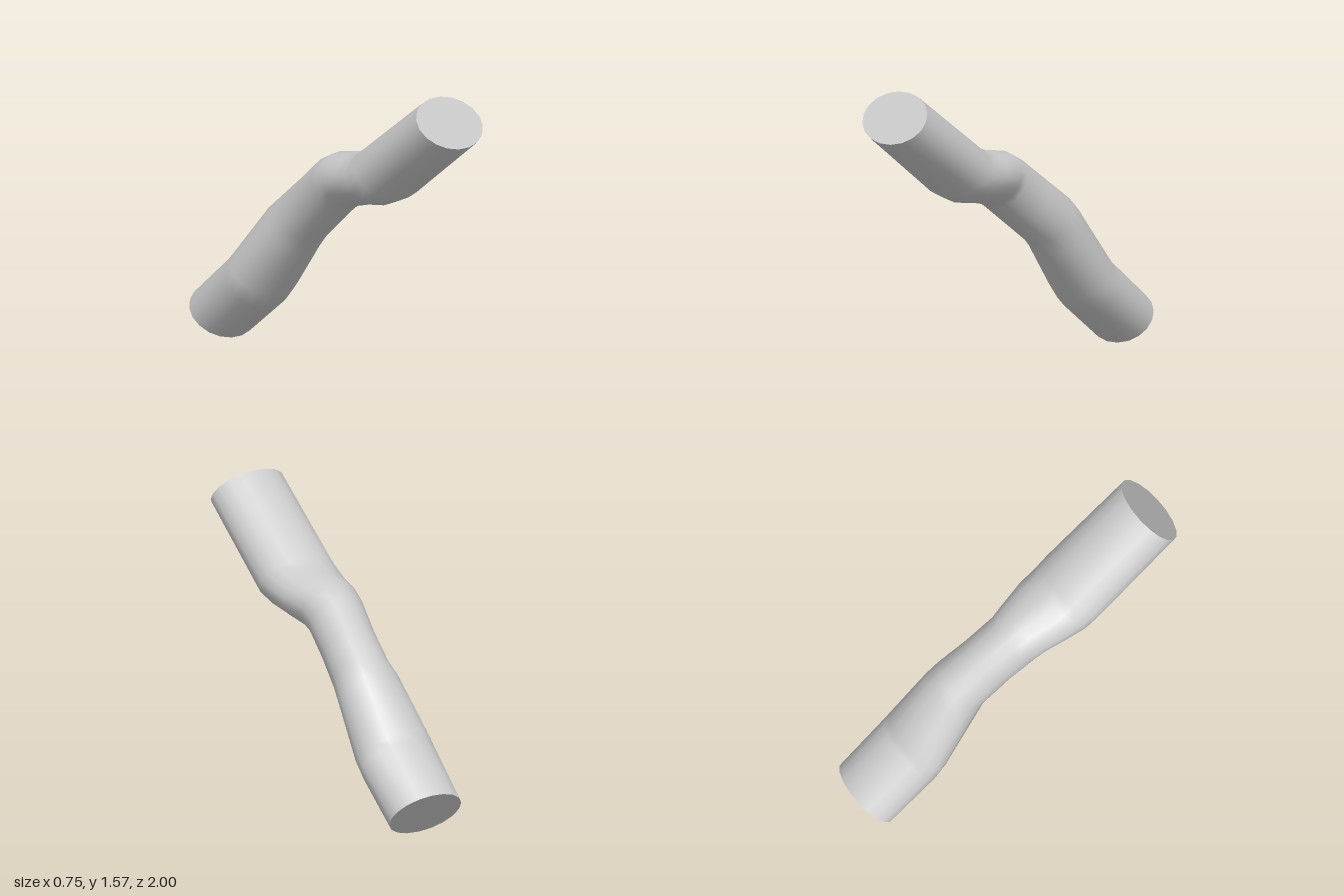
import * as THREE from 'three';

const SIDES = 18;

// Sections from the upper front end to the lower back end:
// centre x, half width, then the [z, y] of the upper and lower edge
const SECTIONS = [
  [0.17, 0.208, [0.80, 1.572], [1.00, 1.328]],
  [0.076, 0.214, [0.30, 1.22], [0.52, 0.975]],
  [0.055, 0.205, [0.25, 1.195], [0.41, 0.925]],
  [0.038, 0.193, [0.18, 1.172], [0.28, 0.905]],
  [0.005, 0.165, [0.03, 1.145], [0.16, 0.875]],
  [-0.01, 0.155, [-0.06, 1.10], [0.11, 0.838]],
  [-0.022, 0.15, [-0.23, 0.975], [-0.03, 0.732]],
  [-0.036, 0.158, [-0.40, 0.85], [-0.18, 0.62]],
  [-0.052, 0.172, [-0.47, 0.78], [-0.24, 0.56]],
  [-0.11, 0.21, [-0.69, 0.505], [-0.46, 0.29]],
  [-0.122, 0.212, [-0.72, 0.475], [-0.53, 0.21]],
  [-0.173, 0.205, [-1.00, 0.25], [-0.80, 0.003]],
];

// Elliptical rings set square to the bent centre line
function makeRings() {
  const centres = SECTIONS.map(([x, , a, b]) =>
    new THREE.Vector3(x, (a[1] + b[1]) / 2, (a[0] + b[0]) / 2));
  return SECTIONS.map(([, halfWidth, a, b], i) => {
    const last = SECTIONS.length - 1;
    const along = centres[Math.max(i - 1, 0)].clone()
      .sub(centres[Math.min(i + 1, last)]).normalize();
    const side = new THREE.Vector3(1, 0, 0).addScaledVector(along, -along.x);
    side.multiplyScalar(halfWidth / side.x);
    const up = new THREE.Vector3(0, (a[1] - b[1]) / 2, (a[0] - b[0]) / 2);
    const ring = [];
    for (let j = 0; j < SIDES; j++) {
      const t = (j / SIDES) * Math.PI * 2 + Math.PI / 2;
      ring.push(centres[i].clone()
        .addScaledVector(side, Math.cos(t))
        .addScaledVector(up, Math.sin(t)));
    }
    return { centre: centres[i], ring };
  });
}

function makeMesh(name, points, index, material) {
  const geometry = new THREE.BufferGeometry().setFromPoints(points);
  geometry.setIndex(index);
  geometry.computeVertexNormals();
  const mesh = new THREE.Mesh(geometry, material);
  mesh.name = name;
  return mesh;
}

// Flat end disc; flip turns it to face down the tube
function makeCap(name, { centre, ring }, flip, material) {
  const index = [];
  for (let j = 1; j <= SIDES; j++) {
    const k = (j % SIDES) + 1;
    index.push(0, ...(flip ? [k, j] : [j, k]));
  }
  return makeMesh(name, [centre, ...ring], index, material);
}

export function createModel() {
  const model = new THREE.Group();
  model.name = 'bentTube';
  const material = new THREE.MeshStandardMaterial({ color: 0xcccccc });
  const rings = makeRings();

  // Smooth wall joining the rings
  const index = [];
  for (let i = 0; i < rings.length - 1; i++) {
    for (let j = 0; j < SIDES; j++) {
      const k = (j + 1) % SIDES;
      const a = i * SIDES + j, b = i * SIDES + k;
      index.push(a, a + SIDES, b + SIDES, a, b + SIDES, b);
    }
  }
  model.add(makeMesh('tubeWall', rings.flatMap((r) => r.ring), index, material));

  // Closed ends
  model.add(makeCap('upperEnd', rings[0], false, material));
  model.add(makeCap('lowerEnd', rings[rings.length - 1], true, material));
  return model;
}
